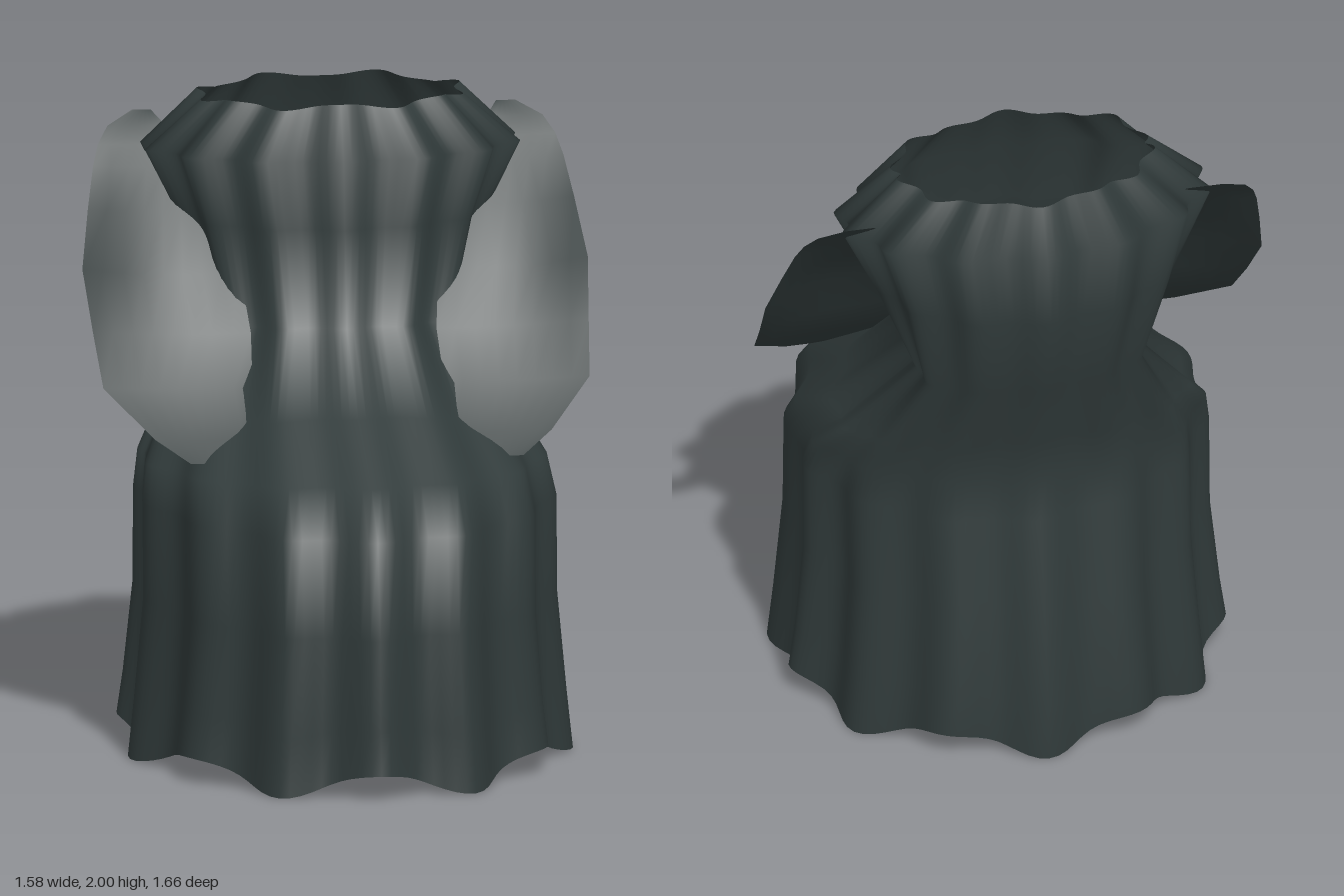
import * as THREE from 'three';

const cloth = new THREE.MeshStandardMaterial({ color: 0x303a3a, side: THREE.DoubleSide });
cloth.name = 'dark slate cloth';

// Skin a list of rows of points; closed rows wrap round
function loft(rows, closed) {
  const n = rows[0].length, pos = rows.flat(2), index = [];
  for (let r = 0; r < rows.length - 1; r++) {
    for (let i = 0; i < (closed ? n : n - 1); i++) {
      const j = (i + 1) % n, a = r * n + i, b = r * n + j;
      index.push(a, b, b + n, a, b + n, a + n);
    }
  }
  const g = new THREE.BufferGeometry();
  g.setAttribute('position', new THREE.Float32BufferAttribute(pos, 3));
  g.setIndex(index);
  g.computeVertexNormals();
  return g;
}

// Seated robe: y, half width, front z, z of widest point, back z, fold depth, side drop, edge ripple, side pinch
const LEVELS = [
  [0.04, 0.71, 0.83, -0.12, -0.80, 0.075, 0, 0.04, 0],
  [0.20, 0.69, 0.81, -0.12, -0.79, 0.075, 0, 0.015, 0],
  [0.50, 0.66, 0.80, -0.12, -0.74, 0.065, 0, 0, 0],
  [0.80, 0.66, 0.74, -0.12, -0.68, 0.055, 0, 0, 0],
  [0.94, 0.64, 0.59, -0.18, -0.65, 0.05, 0.03, 0, 0],
  [1.09, 0.57, 0.26, -0.29, -0.68, 0.05, 0.07, 0, 0],
  [1.32, 0.46, -0.02, -0.42, -0.74, 0.06, 0.02, 0, 0.25],
  [1.62, 0.53, -0.07, -0.45, -0.83, 0.075, 0, 0, 0.08],
  [1.83, 0.60, -0.10, -0.44, -0.78, 0.075, 0, 0, 0],
  [1.99, 0.42, -0.17, -0.44, -0.71, 0.075, 0, 0.01, 0],
];

function robeRow([y, w, front, mid, back, fold, drop, ripple, pinch]) {
  const row = [], n = 140;
  for (let i = 0; i < n; i++) {
    const t = (i / n) * Math.PI * 2, s = Math.sin(t), c = Math.cos(t);
    // vertical pleats pull the outline inwards between ridges
    const k = 1 - fold * (1 - Math.cos(14 * t)) / 2;
    const reach = c > 0 ? (front - mid) * c : (back - mid) * (-c) ** 1.15;
    row.push([
      s * w * k * (1 - pinch * s ** 6),
      y - drop * s * s + ripple * Math.cos(7 * t),
      mid + reach * k,
    ]);
  }
  return row;
}

// Open sleeve sheet, tucked into the body: y, inner x, outer x, inner z, outer z, forward bulge
const SLEEVE = [
  [0.96, 0.40, 0.52, 0.24, 0.23, 0],
  [1.02, 0.31, 0.62, 0.18, 0.14, 0],
  [1.15, 0.30, 0.76, 0.02, -0.03, 0.01],
  [1.30, 0.29, 0.775, -0.10, -0.17, 0.03],
  [1.47, 0.31, 0.79, -0.21, -0.31, 0.06],
  [1.64, 0.31, 0.76, -0.36, -0.41, 0.05],
  [1.76, 0.30, 0.735, -0.47, -0.48, 0.03],
  [1.82, 0.40, 0.715, -0.50, -0.52, 0.01],
  [1.87, 0.50, 0.68, -0.54, -0.56, 0],
  [1.91, 0.54, 0.60, -0.60, -0.60, 0],
];

function sleeveRow([y, xi, xo, zi, zo, bulge], side) {
  const row = [];
  for (let i = 0; i <= 8; i++) {
    const t = i / 8;
    row.push([side * (xi + (xo - xi) * t), y, zi + (zo - zi) * t + bulge * Math.sin(Math.PI * t)]);
  }
  return side > 0 ? row : row.reverse();
}

export function createModel() {
  const model = new THREE.Group();
  model.name = 'seatedRobe';
  const add = (name, geometry) => {
    const m = new THREE.Mesh(geometry, cloth);
    m.name = name;
    model.add(m);
  };
  add('robeBody', loft(LEVELS.map(robeRow), true));
  for (const side of [1, -1]) {
    add(side > 0 ? 'leftSleeve' : 'rightSleeve', loft(SLEEVE.map((s) => sleeveRow(s, side)), false));
  }
  return model;
}
